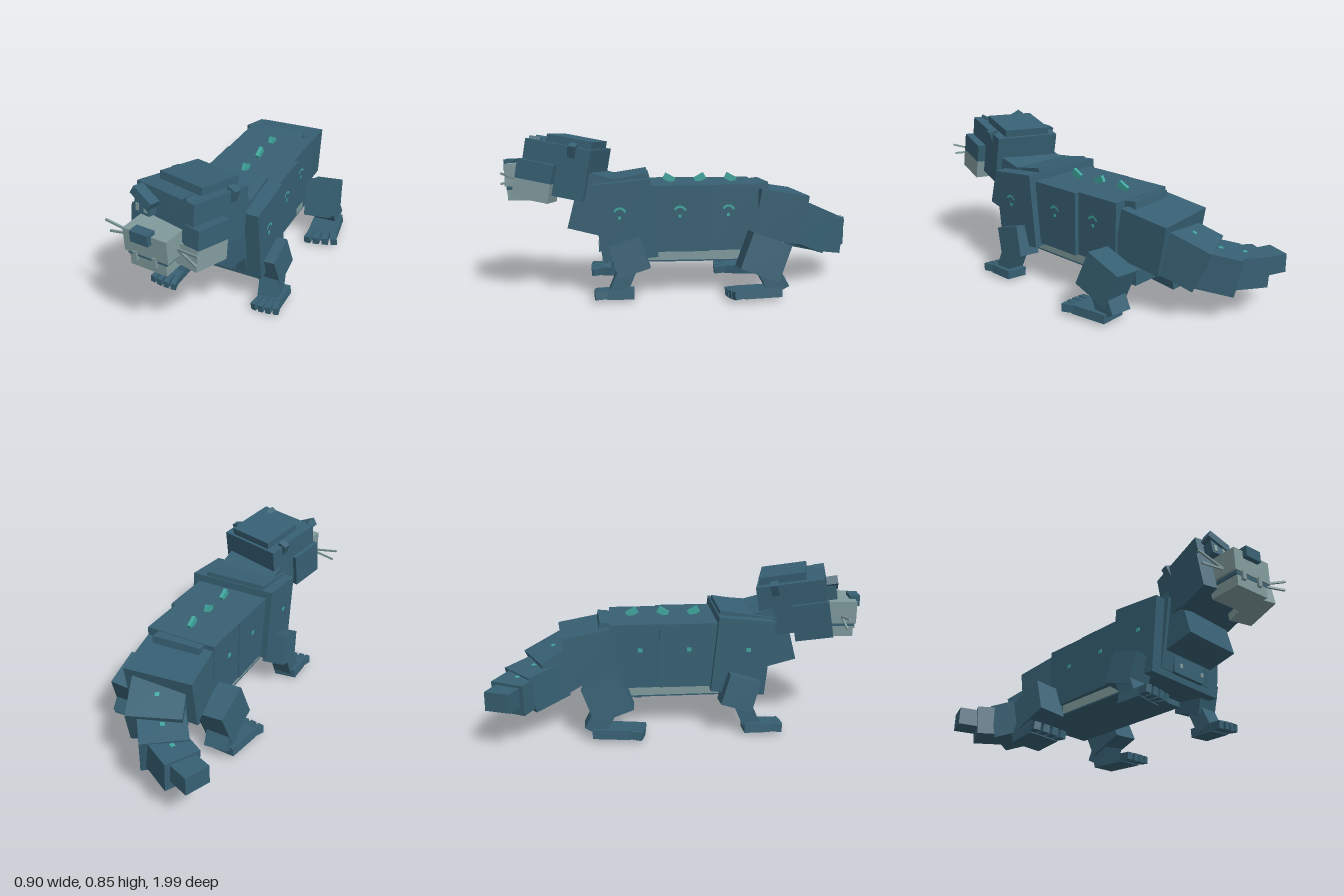
import * as THREE from 'three';

const mat = (name, color) => Object.assign(new THREE.MeshStandardMaterial({ color }), { name });

export function createModel() {
  const root = new THREE.Group();
  root.name = 'beast';
  const fur = mat('slate fur', 0x376073);
  const pale = mat('pale grey', 0x819b9d);
  const teal = mat('teal', 0x3fa69d);

  // Box helper: size, centre and rotation
  const box = (name, parent, material, size, pos, rot = [0, 0, 0]) => {
    const m = new THREE.Mesh(new THREE.BoxGeometry(...size), material);
    m.name = name;
    m.position.set(...pos);
    m.rotation.set(...rot);
    parent.add(m);
    return m;
  };
  const group = (name, parent, pos = [0, 0, 0], rot = [0, 0, 0]) => {
    const g = new THREE.Group();
    g.name = name;
    g.position.set(...pos);
    g.rotation.set(...rot);
    parent.add(g);
    return g;
  };
  // Bar running from a to b
  const bar = (name, parent, material, a, b, w, h) => {
    const from = new THREE.Vector3(...a), to = new THREE.Vector3(...b);
    const m = box(name, parent, material, [w, h, from.distanceTo(to)], [0, 0, 0]);
    m.position.copy(from).lerp(to, 0.5);
    m.lookAt(to);
    return m;
  };

  // Trunk
  const body = group('body', root);
  box('shoulders', body, fur, [0.5, 0.41, 0.29], [0.02, 0.406, 0.325], [0.1, 0, 0]);
  box('withers', body, fur, [0.36, 0.38, 0.31], [0.01, 0.435, 0.335], [0.16, 0, 0]);
  box('neck', body, fur, [0.345, 0.31, 0.3], [0.022, 0.475, 0.45], [-0.25, 0, 0]);
  box('chestPlate', body, fur, [0.22, 0.1, 0.06], [0.02, 0.27, 0.443]);
  for (const x of [-0.04, 0.122])
    box('chestMark', body, pale, [0.018, 0.024, 0.006], [x, 0.267, 0.474]);
  box('middle', body, fur, [0.425, 0.35, 0.31], [0.018, 0.41, 0.045]);
  box('loin', body, fur, [0.395, 0.35, 0.28], [0.008, 0.41, -0.235]);
  box('backSlab', body, fur, [0.27, 0.04, 0.07], [0, 0.565, -0.4], [0.12, 0.05, 0]);
  box('hips', body, fur, [0.375, 0.27, 0.27], [-0.01, 0.405, -0.49], [-0.16, 0.1, 0]);
  box('belly', body, pale, [0.37, 0.07, 0.51], [0.015, 0.219, -0.025]);
  box('rearBelly', body, fur, [0.37, 0.07, 0.23], [0.015, 0.219, -0.395]);
  box('bellyFront', body, fur, [0.37, 0.078, 0.02], [0.015, 0.215, 0.24]);
  box('bellyUnderside', body, fur, [0.37, 0.008, 0.74], [0.015, 0.18, -0.14]);

  // Back fins
  for (const [z, tilt] of [[-0.25, -0.5], [-0.08, 0.5], [0.09, -0.5]])
    box('backFin', body, teal, [0.02, 0.036, 0.062], [0.012, 0.602, z], [tilt, 0, 0]);

  // Flank marks: an arc on each left block, a small spot on each right block
  const arc = new THREE.RingGeometry(0.024, 0.036, 8, 1, 0.3, 2.4);
  for (const [left, right, z] of [[0.273, -0.232, 0.36], [0.2335, -0.197, 0.045], [0.2085, -0.192, -0.215]]) {
    const mark = new THREE.Mesh(arc, teal);
    mark.name = 'flankArc';
    mark.position.set(left, 0.445, z);
    mark.rotation.y = Math.PI / 2;
    body.add(mark);
    box('flankSpot', body, teal, [0.004, 0.016, 0.016], [left - 0.002, 0.425, z]);
    box('flankSpot', body, teal, [0.004, 0.02, 0.024], [right + 0.001, 0.445, z]);
  }

  // Tail, curling to the right
  const tail = group('tail', root);
  [
    [[0.02, 0.385, -0.53], [-0.075, 0.285, -0.75], 0.28, 0.23],
    [[-0.06, 0.285, -0.68], [-0.19, 0.243, -0.85], 0.24, 0.2],
    [[-0.15, 0.255, -0.81], [-0.32, 0.245, -0.9], 0.19, 0.165],
    [[-0.25, 0.262, -0.87], [-0.425, 0.265, -0.94], 0.138, 0.1],
  ].forEach(([a, b, w, h], i) => {
    const seg = bar('tailSegment', tail, fur, a, b, w, h);
    if (i < 3) box('tailSpot', seg, teal, [0.022, 0.004, 0.022], [0, h / 2 + 0.001, 0]);
  });

  // Legs: thigh, shin, foot and four toes
  const legs = [
    { name: 'frontLeg', w: 0.13, h: 0.17, d: 0.17, z: 0.31, y: 0.222, tilt: 0.3, x: 0.257, off: 0.014,
      shin: [0.11, 0.17, 0.09], shinPos: [0.11, 0.345], lean: -0.4,
      foot: [0.13, 0.048, 0.14], footZ: 0.373, yaw: 0, toeShift: [0.025, -0.015] },
    { name: 'hindLeg', w: 0.155, h: 0.2, d: 0.215, z: -0.39, y: 0.217, tilt: -0.36, x: 0.272, off: 0.018,
      shin: [0.13, 0.13, 0.11], shinPos: [0.1, -0.435], lean: 0.5,
      foot: [0.168, 0.048, 0.2], footZ: -0.362, yaw: 0.15, toeShift: [0, 0] },
  ];
  for (const L of legs)
    for (const s of [-1, 1]) {
      const leg = group((s > 0 ? 'left ' : 'right ') + L.name, root, [s * L.x + L.off, 0, 0]);
      box('thigh', leg, fur, [L.w, L.h, L.d], [0, L.y, L.z], [L.tilt, 0, s * 0.1]);
      box('shin', leg, fur, L.shin, [s * 0.015, ...L.shinPos], [L.lean, 0, s * 0.06]);
      const foot = group('foot', leg, [s * 0.035, 0.036, L.footZ + L.toeShift[s > 0 ? 1 : 0]], [0, s * L.yaw, s * 0.1]);
      box('sole', foot, fur, L.foot, [0, 0, 0]);
      for (let i = 0; i < 4; i++) {
        const t = (i - 1.5) / 1.5;
        const len = 0.085 - 0.012 * Math.abs(t);
        box('toe', foot, fur, [L.foot[0] / 4.6, 0.042, len],
          [t * L.foot[0] * 0.43, 0, L.foot[2] / 2 + 0.025], [0.08, t * 0.2, 0]);
      }
    }

  // Head, turned to the right and raised
  const head = group('head', root, [0, 0.66, 0.65]);
  head.rotation.set(-0.17, -0.27, 0.04, 'YXZ');
  box('skull', head, fur, [0.37, 0.27, 0.36], [0, 0, 0]);
  box('crown', head, fur, [0.27, 0.05, 0.25], [0, 0.15, -0.04]);
  for (const s of [-1, 1])
    box('ear', head, fur, [0.05, 0.07, 0.04], [s * 0.172, 0.115, -0.08], [0, 0, -s * 0.35]);
  box('rightCheek', head, fur, [0.08, 0.195, 0.2], [-0.168, -0.08, 0.09]);
  box('leftCheek', head, fur, [0.09, 0.1, 0.2], [0.185, -0.022, 0.09]);
  box('leftJowl', head, pale, [0.14, 0.105, 0.2], [0.16, -0.122, 0.092]);

  // Eyes and slanted brows
  const face = group('face', root);
  for (const [x, y, z, s] of [[-0.145, 0.737, 0.808, -1], [0.047, 0.745, 0.795, 1]]) {
    const eye = group('eye', face, [x, y, z], [-0.17, -0.2, 0]);
    box('eyeSocket', eye, fur, [0.095, 0.075, 0.06], [0, 0, 0]);
    box('eyeGlint', eye, pale, [0.02, 0.036, 0.006], [-0.026, -0.008, 0.031]);
    box('eyeGlint', eye, pale, [0.02, 0.03, 0.006], [0.026, -0.008, 0.031]);
    box('brow', eye, fur, [0.125, 0.045, 0.06], [0, 0.042, 0.012], [0, 0, s * 0.5]);
  }

  // Muzzle
  const muzzle = group('muzzle', root, [-0.055, 0.6, 0.865], [0, -0.1, 0.02]);
  box('snout', muzzle, pale, [0.245, 0.12, 0.17], [0, 0.026, 0.01]);
  box('mouth', muzzle, fur, [0.22, 0.02, 0.16], [0, -0.042, 0.008]);
  box('chin', muzzle, pale, [0.205, 0.06, 0.17], [0, -0.081, 0]);
  box('nose', muzzle, fur, [0.1, 0.058, 0.055], [-0.012, 0.076, 0.093]);
  for (const x of [-0.065, 0.045])
    box('tooth', muzzle, pale, [0.022, 0.05, 0.02], [x, -0.048, 0.09]);

  // Whiskers
  for (const [a, b] of [
    [[-0.17, 0.6, 0.87], [-0.345, 0.63, 0.86]],
    [[-0.17, 0.6, 0.87], [-0.325, 0.572, 0.86]],
    [[0.05, 0.6, 0.885], [0.21, 0.655, 0.965]],
    [[0.05, 0.605, 0.885], [0.2, 0.6, 0.965]],
  ]) bar('whisker', face, pale, a, b, 0.01, 0.01);

  return root;
}
